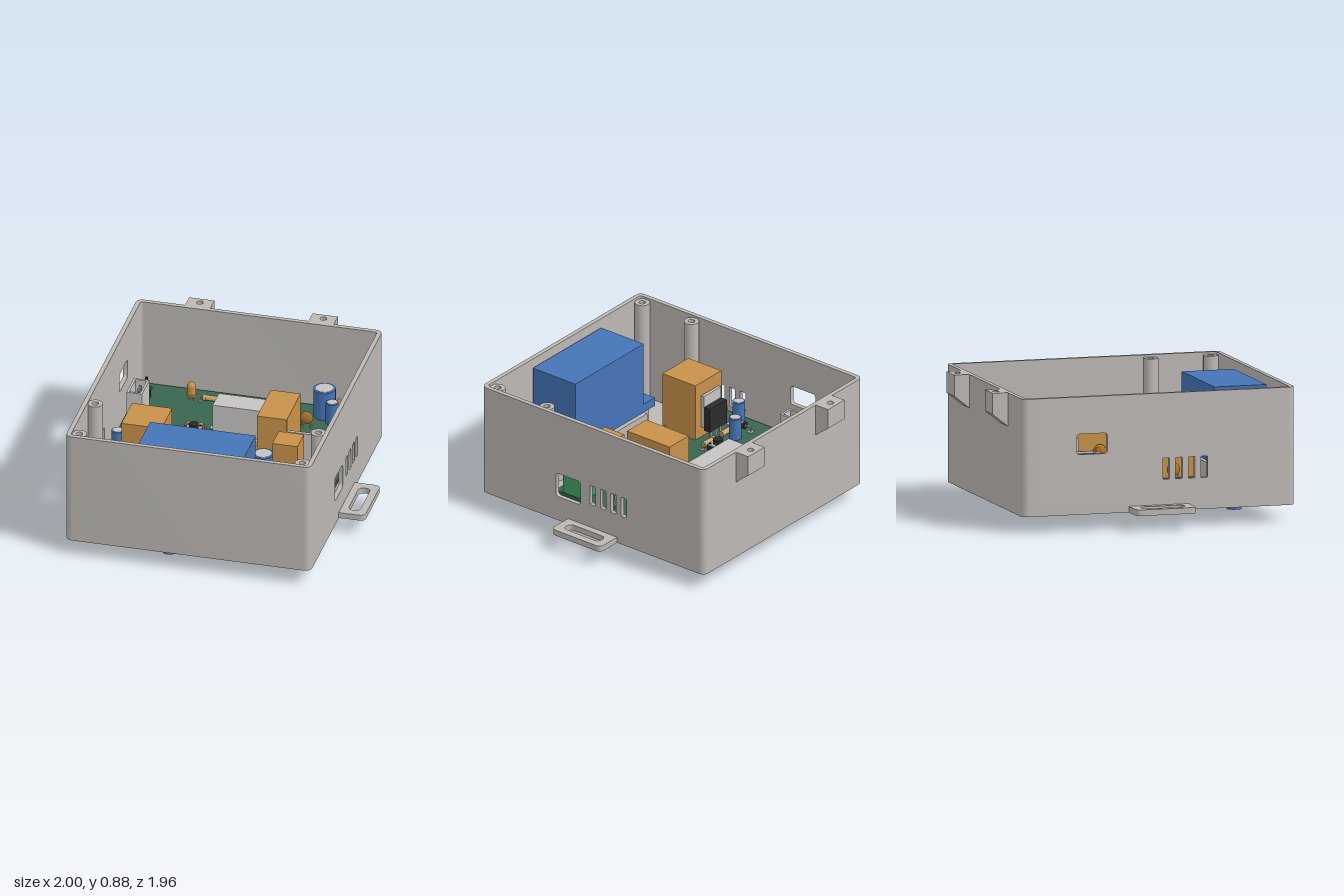
import * as THREE from 'three';
import { toCreasedNormals } from 'three/addons/utils/BufferGeometryUtils.js';

const mat = (name, color) => Object.assign(new THREE.MeshStandardMaterial({ color }), { name });
const M = {
  grey: mat('case grey', 0xbcb8b4), board: mat('board green', 0x386650), green: mat('terminal green', 0x45a068),
  blue: mat('blue', 0x4674b8), orange: mat('orange', 0xc8914a), tan: mat('resistor tan', 0xcca56e),
  brown: mat('capacitor ochre', 0xb4782f), black: mat('black', 0x2b2b2b), metal: mat('light metal', 0xc6c4c2),
};
const TOP = 0.29; // upper face of the circuit board

export function createModel() {
  const root = new THREE.Group();
  root.name = 'controllerBox';
  const group = (name, parent = root) => {
    const g = new THREE.Group();
    g.name = name;
    parent.add(g);
    return g;
  };
  const add = (parent, name, geo, m, x = 0, y = 0, z = 0) => {
    const mesh = new THREE.Mesh(geo, m);
    mesh.name = name;
    mesh.position.set(x, y, z);
    parent.add(mesh);
    return mesh;
  };
  // box from ranges
  const box = (p, name, m, x0, x1, y0, y1, z0, z1) =>
    add(p, name, new THREE.BoxGeometry(x1 - x0, y1 - y0, z1 - z0), m, (x0 + x1) / 2, (y0 + y1) / 2, (z0 + z1) / 2);
  // upright cylinder from y0 to y1
  const post = (p, name, m, x, z, r, y0, y1, n = 20) =>
    add(p, name, new THREE.CylinderGeometry(r, r, y1 - y0, n), m, x, (y0 + y1) / 2, z);
  const rounded = (x0, x1, y0, y1, r, Type = THREE.Shape) => {
    const s = new Type();
    s.moveTo(x0 + r, y0);
    s.lineTo(x1 - r, y0).quadraticCurveTo(x1, y0, x1, y0 + r);
    s.lineTo(x1, y1 - r).quadraticCurveTo(x1, y1, x1 - r, y1);
    s.lineTo(x0 + r, y1).quadraticCurveTo(x0, y1, x0, y1 - r);
    s.lineTo(x0, y0 + r).quadraticCurveTo(x0, y0, x0 + r, y0);
    return s;
  };
  const circle = (x, y, r, Type = THREE.Path) => new Type().absarc(x, y, r, 0, Math.PI * 2, false);
  const extrude = (shape, depth) => toCreasedNormals(
    new THREE.ExtrudeGeometry(shape, { depth, bevelEnabled: false, curveSegments: 8 }), 0.6);
  // plan shapes use x and -z
  const plan = (shape, h) => extrude(shape, h).rotateX(-Math.PI / 2);

  // ---- case ----
  const box1 = group('case');
  const floor = rounded(-0.825, 0.825, -0.98, 0.88, 0.05);
  floor.holes.push(circle(-0.18, -0.765, 0.1));
  add(box1, 'floor', plan(floor, 0.04), M.grey, 0, 0.11, 0);

  // end walls carry the rounded corners
  const end = new THREE.Shape();
  end.moveTo(-0.825, 0.08);
  end.lineTo(-0.825, 0.05).quadraticCurveTo(-0.825, 0, -0.775, 0);
  end.lineTo(0.775, 0).quadraticCurveTo(0.825, 0, 0.825, 0.05);
  end.lineTo(0.825, 0.08).lineTo(0.795, 0.08).lineTo(0.795, 0.05);
  end.quadraticCurveTo(0.795, 0.03, 0.775, 0.03).lineTo(-0.775, 0.03);
  end.quadraticCurveTo(-0.795, 0.03, -0.795, 0.05).lineTo(-0.795, 0.08);
  const endGeo = plan(end, 0.735);
  add(box1, 'frontWall', endGeo, M.grey, 0, 0.15, 0.98);
  add(box1, 'backWall', endGeo, M.grey, 0, 0.15, -0.88).rotation.y = Math.PI;

  // side walls with connector window and vents
  const sideWall = (name, x, win, vents) => {
    const s = rounded(-0.8, 0.9, 0.15, 0.885, 0);
    s.holes.push(rounded(...win, 0.025, THREE.Path));
    for (const z of vents) s.holes.push(rounded(z - 0.023, z + 0.023, 0.317, 0.457, 0.006, THREE.Path));
    add(box1, name, extrude(s, 0.03).rotateY(-Math.PI / 2), M.grey, x, 0, 0);
  };
  sideWall('leftWall', 0.825, [0.15, 0.355, 0.285, 0.455], [0.05, -0.037, -0.124, -0.21]);
  sideWall('rightWall', -0.795, [-0.51, -0.3, 0.505, 0.64], [0.1, 0.187, 0.274, 0.36]);

  // slotted mounting ears
  const ear = new THREE.Shape();
  ear.moveTo(0.82, -0.205);
  ear.lineTo(0.96, -0.205).quadraticCurveTo(1, -0.205, 1, -0.165);
  ear.lineTo(1, 0.165).quadraticCurveTo(1, 0.205, 0.96, 0.205);
  ear.lineTo(0.82, 0.205);
  ear.holes.push(rounded(0.872, 0.95, -0.148, 0.148, 0.038, THREE.Path));
  const earGeo = plan(ear, 0.04);
  for (const a of [0, Math.PI]) add(box1, 'mountingEar', earGeo, M.grey, 0, 0.11, 0.05).rotation.y = a;

  // lid tabs on the back
  for (const x of [-0.42, 0.41]) {
    const t = rounded(-0.085, 0.085, 0.875, 0.983, 0);
    t.holes.push(circle(0, 0.935, 0.022));
    add(box1, 'tabTop', plan(t, 0.085), M.grey, x, 0.8, 0);
    const w = new THREE.Shape([[-0.875, 0.8], [-0.983, 0.8], [-0.983, 0.745], [-0.875, 0.66]].map(p => new THREE.Vector2(...p)));
    add(box1, 'tabWedge', extrude(w, 0.17).rotateY(-Math.PI / 2), M.grey, x + 0.085, 0, 0);
  }

  // screw posts
  for (const x of [-0.75, 0.75]) for (const z of [0.49, 0.9]) {
    const ring = circle(0, 0, 0.05, THREE.Shape);
    ring.holes.push(circle(0, 0, 0.022));
    add(box1, 'screwPost', plan(ring, 0.72), M.grey, x, 0.15, z);
  }

  // ---- actuator and its cradle ----
  const act = group('actuator');
  const cradle = rounded(-0.36, 0.35, -0.95, -0.545, 0);
  cradle.holes.push(rounded(-0.33, 0.32, -0.93, -0.575, 0, THREE.Path));
  add(act, 'cradle', plan(cradle, 0.18), M.grey, 0, 0.15, 0);
  box(act, 'actuatorBody', M.blue, -0.36, 0.35, 0.39, 0.835, 0.575, 0.93);
  box(act, 'actuatorFlange', M.blue, -0.475, 0.465, 0.33, 0.39, 0.575, 0.93);
  box(act, 'actuatorLowerBody', M.blue, -0.325, 0.315, 0.2, 0.33, 0.58, 0.925);
  post(act, 'actuatorShaft', M.blue, -0.18, 0.765, 0.05, 0, 0.2, 28);
  for (const x of [-0.445, 0.435]) for (const z of [0.665, 0.835])
    post(act, 'flangePost', M.grey, x, z, 0.05, 0.15, 0.33);

  // ---- circuit board ----
  const pcb = group('circuitBoard');
  const plate = rounded(-0.78, 0.77, -0.405, 0.835, 0.015);
  for (const [x, z] of [[-0.72, -0.775], [0.71, -0.775], [0.71, -0.06], [-0.73, 0.355]]) {
    plate.holes.push(circle(x, -z, 0.022));
    post(pcb, 'standoff', M.grey, x, z, 0.045, 0.15, 0.26);
  }
  add(pcb, 'boardPlate', plan(plate, 0.03), M.board, 0, 0.26, 0);

  // part lying between two bent leads; along z when turned
  const axial = (name, m, x, z, turned, len, r, span, band) => {
    const g = group(name, pcb);
    g.position.set(x, TOP, z);
    if (turned) g.rotation.y = Math.PI / 2;
    const y = r + 0.012;
    add(g, 'body', new THREE.CylinderGeometry(r, r, len, 16).rotateZ(Math.PI / 2), m, 0, y);
    add(g, 'lead', new THREE.CylinderGeometry(0.006, 0.006, span, 8).rotateZ(Math.PI / 2), M.metal, 0, y);
    for (const s of [-1, 1]) {
      post(g, 'leg', M.metal, s * span / 2, 0, 0.006, 0, y + 0.006, 8);
      post(g, 'pad', M.metal, s * span / 2, 0, band ? 0.02 : 0.016, 0, 0.006, 14);
      if (!band) add(g, 'bodyEnd', new THREE.CylinderGeometry(r + 0.003, r + 0.003, len * 0.2, 16).rotateZ(Math.PI / 2), m, s * len * 0.4, y);
    }
    if (band) add(g, 'band', new THREE.CylinderGeometry(r + 0.002, r + 0.002, len * 0.15, 16).rotateZ(Math.PI / 2), M.metal, len * 0.25, y);
  };
  for (const [x, z, t] of [[-0.28, -0.695, 0], [-0.61, -0.405, 1], [-0.555, -0.355, 1], [-0.29, -0.33, 0], [0.365, -0.39, 1],
    [0.14, -0.22, 0], [0.12, -0.165, 0], [0.07, -0.015, 0], [-0.325, 0.005, 0], [-0.51, 0.005, 0], [0.63, -0.73, 1], [0.135, 0.11, 1]])
    axial('resistor', M.tan, x, z, t, 0.11, 0.018, 0.14);
  for (const [x, z, t] of [[-0.64, -0.005, 1], [-0.215, 0.355, 0], [0.535, -0.37, 1], [0.615, -0.315, 1], [0.49, -0.19, 1], [0.57, -0.14, 1]])
    axial('diode', M.black, x, z, t, 0.09, 0.024, 0.175, true);
  axial('powerDiode', M.black, 0.415, 0.355, 0, 0.155, 0.045, 0.26, true);

  // disc capacitors on two legs
  for (const [x, z, t] of [[0.4, -0.54, 0], [0.56, -0.75, 1], [0.445, -0.225, 1], [0.63, -0.015, 1],
    [0.2, -0.03, 1], [0.22, 0.215, 1], [-0.695, 0.19, 1], [0.095, -0.075, 0]]) {
    const g = group('discCapacitor', pcb);
    g.position.set(x, TOP, z);
    if (t) g.rotation.y = Math.PI / 2;
    add(g, 'disc', new THREE.SphereGeometry(0.045, 16, 10).scale(1, 1, 0.4), M.brown, 0, 0.07);
    for (const s of [-1, 1]) post(g, 'leg', M.metal, s * 0.03, 0, 0.006, 0, 0.05, 8);
  }

  // can capacitors
  for (const [x, z, r, h] of [[0.475, -0.72, 0.073, 0.2], [0.547, -0.64, 0.042, 0.15], [-0.52, -0.06, 0.042, 0.15], [-0.71, 0.063, 0.042, 0.15], [0.305, 0.207, 0.07, 0.2]]) {
    post(pcb, 'canCapacitor', M.blue, x, z, r, TOP, TOP + h, 24);
    post(pcb, 'canTop', M.metal, x, z, r * 0.78, TOP + h, TOP + h + 0.003, 24);
  }

  // indicator lamp
  post(pcb, 'lampBase', M.orange, -0.415, -0.7, 0.036, TOP + 0.03, TOP + 0.045);
  post(pcb, 'lampBody', M.orange, -0.415, -0.7, 0.029, TOP + 0.045, TOP + 0.1);
  add(pcb, 'lampDome', new THREE.SphereGeometry(0.029, 16, 8, 0, Math.PI * 2, 0, Math.PI / 2), M.orange, -0.415, TOP + 0.1, -0.7);
  for (const s of [-1, 1]) post(pcb, 'lampLeg', M.metal, -0.415 + s * 0.013, -0.7, 0.005, TOP, TOP + 0.03, 8);

  // relays, converter and block resistor
  box(pcb, 'cornerRelay', M.orange, -0.6, -0.33, TOP, 0.69, 0.12, 0.395);
  box(pcb, 'tallRelay', M.orange, 0.23, 0.43, TOP, 0.69, -0.275, 0.08);
  box(pcb, 'converter', M.orange, 0.39, 0.56, TOP, 0.63, 0.135, 0.3);
  box(pcb, 'blockResistor', M.metal, -0.165, 0.28, TOP, 0.51, -0.45, -0.29);
  for (const x of [-0.185, 0.297]) post(pcb, 'blockResistorPad', M.metal, x, -0.37, 0.02, TOP, TOP + 0.008);

  // upright regulators with metal backs
  for (const [x, z] of [[-0.47, 0.04], [0.515, 0.003]]) {
    box(pcb, 'regulatorBody', M.black, x - 0.09, x + 0.09, 0.35, 0.52, z, z + 0.05);
    box(pcb, 'regulatorTab', M.metal, x - 0.09, x + 0.09, 0.37, 0.6, z + 0.05, z + 0.072);
    for (const d of [-0.05, 0, 0.05]) box(pcb, 'regulatorLeg', M.metal, x + d - 0.008, x + d + 0.008, TOP, 0.35, z + 0.02, z + 0.03);
  }

  // push buttons
  for (const [x, z] of [[0.612, -0.53], [-0.28, -0.245], [-0.305, -0.088]]) {
    box(pcb, 'buttonBase', M.black, x - 0.05, x + 0.05, TOP, TOP + 0.05, z - 0.05, z + 0.05);
    box(pcb, 'buttonPlate', M.metal, x - 0.05, x + 0.05, TOP + 0.05, TOP + 0.058, z - 0.05, z + 0.05);
    post(pcb, 'buttonCap', M.black, x, z, 0.032, TOP + 0.058, TOP + 0.09);
    for (const a of [-1, 1]) for (const b of [-1, 1]) {
      post(pcb, 'buttonRivet', M.black, x + a * 0.036, z + b * 0.036, 0.009, TOP + 0.058, TOP + 0.063, 10);
      box(pcb, 'buttonPin', M.metal, x + a * 0.06 - 0.012, x + a * 0.06 + 0.012, TOP, TOP + 0.01, z + b * 0.04 - 0.012, z + b * 0.04 + 0.012);
    }
  }

  // pin header
  box(pcb, 'headerBase', M.black, -0.729, -0.681, TOP, TOP + 0.05, -0.675, -0.545);
  for (const z of [-0.653, -0.61, -0.567]) box(pcb, 'headerPin', M.black, -0.712, -0.698, TOP + 0.05, TOP + 0.15, z - 0.007, z + 0.007);

  // open-topped sockets with pins
  const socket = (x0, x1, z0, z1, h, n) => {
    const s = rounded(x0, x1, -z1, -z0, 0);
    s.holes.push(rounded(x0 + 0.015, x1 - 0.015, -z1 + 0.015, -z0 - 0.015, 0, THREE.Path));
    add(pcb, 'socketShell', plan(s, h), M.metal, 0, TOP, 0);
    box(pcb, 'socketFloor', M.metal, x0 + 0.01, x1 - 0.01, TOP, TOP + 0.05, z0 + 0.01, z1 - 0.01);
    for (let i = 0; i < n; i++) {
      const z = z0 + (z1 - z0) * (i + 1) / (n + 1), x = (x0 + x1) / 2;
      box(pcb, 'socketPin', M.metal, x - 0.007, x + 0.007, TOP + 0.05, TOP + h - 0.03, z - 0.007, z + 0.007);
    }
  };
  socket(-0.755, -0.65, -0.52, -0.33, 0.21, 4);
  socket(0.665, 0.762, -0.295, -0.2, 0.15, 2);

  // screw terminal
  box(pcb, 'terminalBody', M.green, 0.62, 0.715, TOP, 0.455, 0.162, 0.345);
  box(pcb, 'terminalFront', M.green, 0.715, 0.765, TOP, 0.42, 0.162, 0.345);
  box(pcb, 'terminalBack', M.board, 0.6, 0.62, TOP, 0.42, 0.162, 0.345);
  for (const z of [0.21, 0.295]) {
    post(pcb, 'terminalScrew', M.metal, 0.667, z, 0.033, 0.455, 0.462);
    box(pcb, 'screwSlot', M.black, 0.637, 0.697, 0.462, 0.464, z - 0.004, z + 0.004);
  }
  return root;
}
